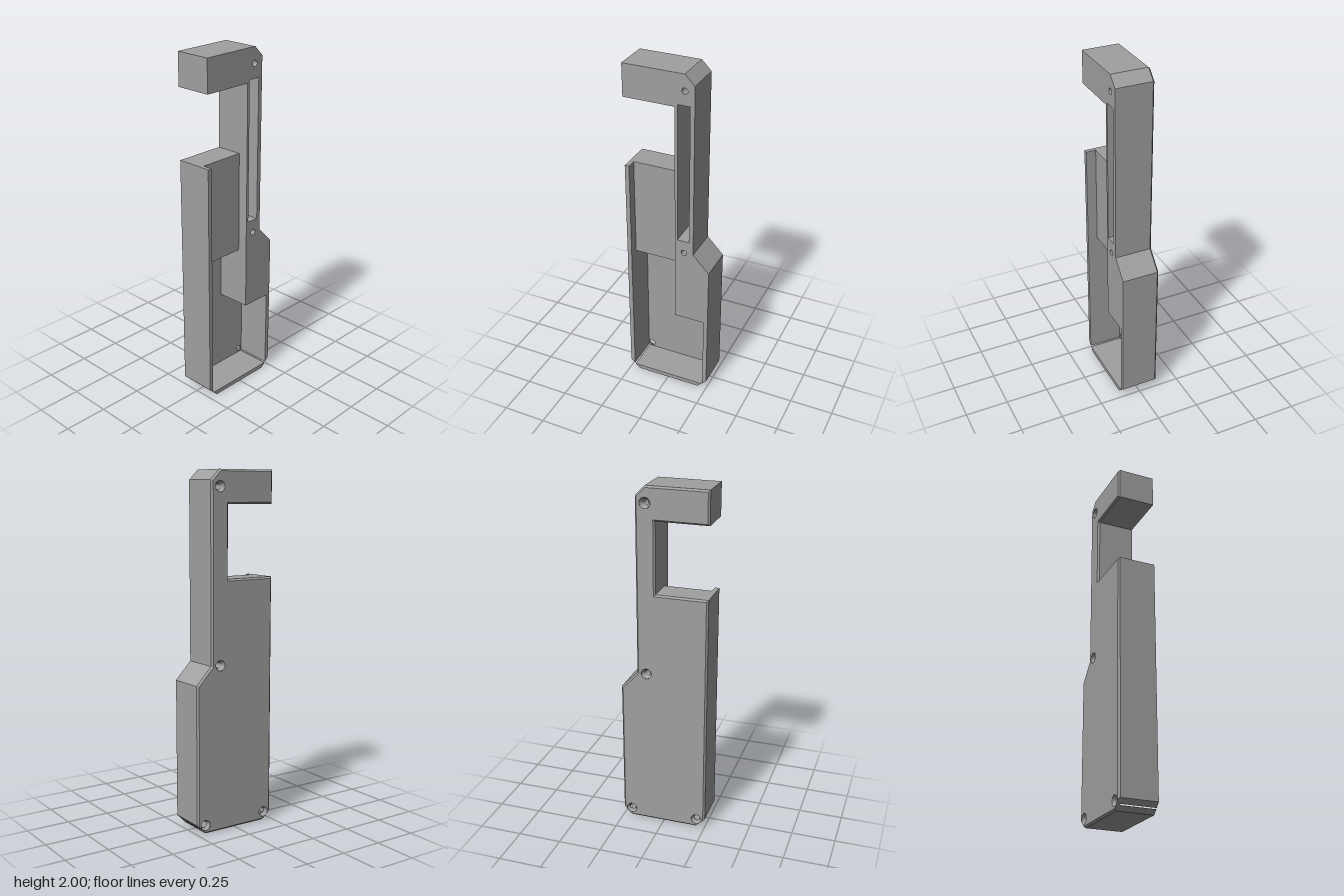
import * as THREE from 'three';

const FRONT = 0.11, FLOOR = -0.09, RIM = -0.10, BACK = -0.11;
const HOLE_R = 0.017, SINK_R = 0.03;
const SCREWS = [[0.1, 1.91], [0.1, 0.945], [-0.2, 0.05], [0.2, 0.05]];

// outer outline, counter-clockwise seen from the front
const OUTLINE = [
  [-0.195, 0], [0.195, 0], [0.25, 0.055], [0.25, 0.845], [0.155, 0.945], [0.155, 1.945],
  [0.1, 2], [-0.25, 2], [-0.25, 1.815], [0.045, 1.815], [0.045, 1.415], [-0.25, 1.415], [-0.25, 0.055],
];
// chamfer width for the edge starting at each outline point
const INSET = OUTLINE.map((p, i) => (i === 1 || i === 12 ? 0.0015 : 0.01));

function shapeOf(points, holes = [], radius = HOLE_R) {
  const shape = new THREE.Shape(points.map(([x, y]) => new THREE.Vector2(x, y)));
  for (const [x, y] of holes) {
    shape.holes.push(new THREE.Path().absarc(x, y, radius, 0, Math.PI * 2, true));
  }
  return shape;
}

// move every edge inwards and intersect neighbouring edges
function insetOutline(points, widths) {
  const n = points.length;
  const lines = points.map(([x, y], i) => {
    const [x2, y2] = points[(i + 1) % n];
    const len = Math.hypot(x2 - x, y2 - y);
    const nx = -(y2 - y) / len, ny = (x2 - x) / len;
    return { nx, ny, c: nx * x + ny * y + widths[i] };
  });
  return lines.map((b, i) => {
    const a = lines[(i + n - 1) % n];
    const det = a.nx * b.ny - a.ny * b.nx;
    return [(a.c * b.ny - b.c * a.ny) / det, (a.nx * b.c - b.nx * a.c) / det];
  });
}

// flat side walls between stacked outlines, listed from back to front
function sideBand(rings) {
  const pos = [];
  for (let r = 0; r + 1 < rings.length; r++) {
    const lo = rings[r], hi = rings[r + 1], n = lo.points.length;
    for (let i = 0; i < n; i++) {
      const j = (i + 1) % n;
      const a = [...lo.points[i], lo.z], b = [...lo.points[j], lo.z];
      const c = [...hi.points[j], hi.z], d = [...hi.points[i], hi.z];
      pos.push(...a, ...b, ...c, ...a, ...c, ...d);
    }
  }
  const geo = new THREE.BufferGeometry();
  geo.setAttribute('position', new THREE.Float32BufferAttribute(pos, 3));
  geo.computeVertexNormals();
  return geo;
}

export function createModel() {
  const group = new THREE.Group();
  const grey = new THREE.MeshStandardMaterial({ color: 0xa0a0a0, side: THREE.DoubleSide });
  grey.name = 'grey plastic';

  const add = (name, geo) => {
    const mesh = new THREE.Mesh(geo, grey);
    mesh.name = name;
    group.add(mesh);
    return mesh;
  };
  const block = (name, shape, front) => {
    const geo = new THREE.ExtrudeGeometry(shape, { depth: front - FLOOR, bevelEnabled: false, curveSegments: 24 });
    add(name, geo.translate(0, 0, FLOOR));
  };

  // back plate: floor, chamfered rim and rear face
  const inner = insetOutline(OUTLINE, INSET);
  add('backPlateFloor', new THREE.ShapeGeometry(shapeOf(OUTLINE, SCREWS), 24).translate(0, 0, FLOOR));
  add('backPlateRim', sideBand([
    { points: inner, z: BACK }, { points: OUTLINE, z: RIM }, { points: OUTLINE, z: FLOOR },
  ]));
  const rear = new THREE.ShapeGeometry(shapeOf(inner.map(([x, y]) => [-x, y]).reverse(),
    SCREWS.map(([x, y]) => [-x, y]), SINK_R), 24);
  add('backPlateRear', rear.rotateY(Math.PI).translate(0, 0, BACK));

  // countersunk screw holes
  for (const [x, y] of SCREWS) {
    const cone = new THREE.CylinderGeometry(HOLE_R, SINK_R, FLOOR - BACK, 24, 1, true);
    cone.rotateX(Math.PI / 2).translate(x, y, (FLOOR + BACK) / 2);
    // the inner side of the cone is the visible one
    const idx = cone.index.array;
    for (let i = 0; i < idx.length; i += 3) [idx[i], idx[i + 1]] = [idx[i + 1], idx[i]];
    const nor = cone.attributes.normal.array;
    for (let i = 0; i < nor.length; i++) nor[i] = -nor[i];
    add('countersink', cone);
  }

  // thin walls around the pocket, with narrow slits at the lower corners
  block('sideWall', shapeOf([[-0.25, 0.055], [-0.225, 0.03], [-0.225, 1.415], [-0.25, 1.415]]), FRONT);
  block('bottomWall', shapeOf([[-0.195, 0], [0.195, 0], [0.22, 0.025], [-0.22, 0.025]]), FRONT);

  // raised shelf in the upper half of the pocket
  block('pocketShelf', shapeOf([[-0.225, 0.835], [0.045, 0.835], [0.045, 1.415], [-0.225, 1.415]]), 0.053);

  // solid spine with hooked top arm and a long slot
  const spine = shapeOf([
    [0.045, 0.495], [0.225, 0.495], [0.225, 0.03], [0.25, 0.055], [0.25, 0.845], [0.155, 0.945],
    [0.155, 1.945], [0.1, 2], [-0.25, 2], [-0.25, 1.815], [0.045, 1.815],
  ], SCREWS.slice(0, 2));
  spine.holes.push(new THREE.Path(
    [[0.06, 1.02], [0.06, 1.83], [0.13, 1.83], [0.13, 1.02]].map(([x, y]) => new THREE.Vector2(x, y))));
  block('spineAndArm', spine, FRONT);

  return group;
}
